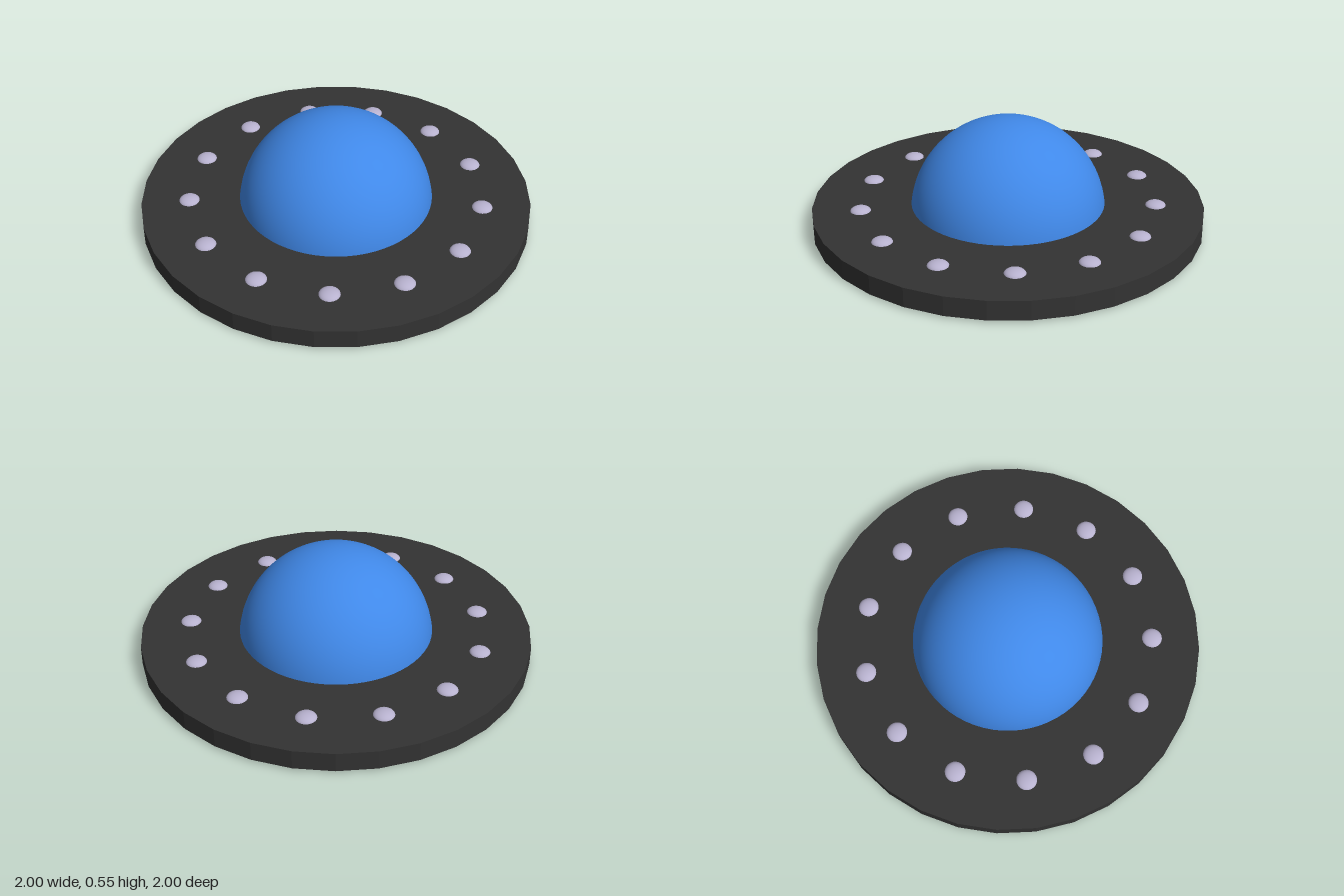
import * as THREE from 'three';

export function createModel() {
  const group = new THREE.Group();
  const add = (name, geometry, color, y, extra = {}) => {
    const mesh = new THREE.Mesh(geometry, new THREE.MeshStandardMaterial({ color, ...extra }));
    mesh.name = name;
    mesh.position.y = y;
    group.add(mesh);
    return mesh;
  };

  // Flat faceted saucer disc
  add('saucerDisc', new THREE.CylinderGeometry(1, 1, 0.1, 32), 0x333333, 0.06, { flatShading: true });

  // Hemispherical cabin dome
  add('dome', new THREE.SphereGeometry(0.5, 64, 24, 0, Math.PI * 2, 0, Math.PI / 2), 0x4088e8, 0.05);

  // Thin plate on the underside
  const plate = add('bottomPlate', new THREE.CircleGeometry(0.497, 64), 0x999999, 0, { side: THREE.DoubleSide });
  plate.rotation.x = Math.PI / 2;

  // Ring of flattened lights, the first one at the back
  const count = 13;
  const lightGeometry = new THREE.SphereGeometry(0.053, 24, 16);
  for (let i = 0; i < count; i++) {
    const a = (i / count) * Math.PI * 2;
    const light = add(`light${i + 1}`, lightGeometry, 0xb8b2cf, 0.106);
    light.position.x = 0.755 * Math.sin(a);
    light.position.z = -0.755 * Math.cos(a);
    light.scale.y = 0.48;
  }
  return group;
}
